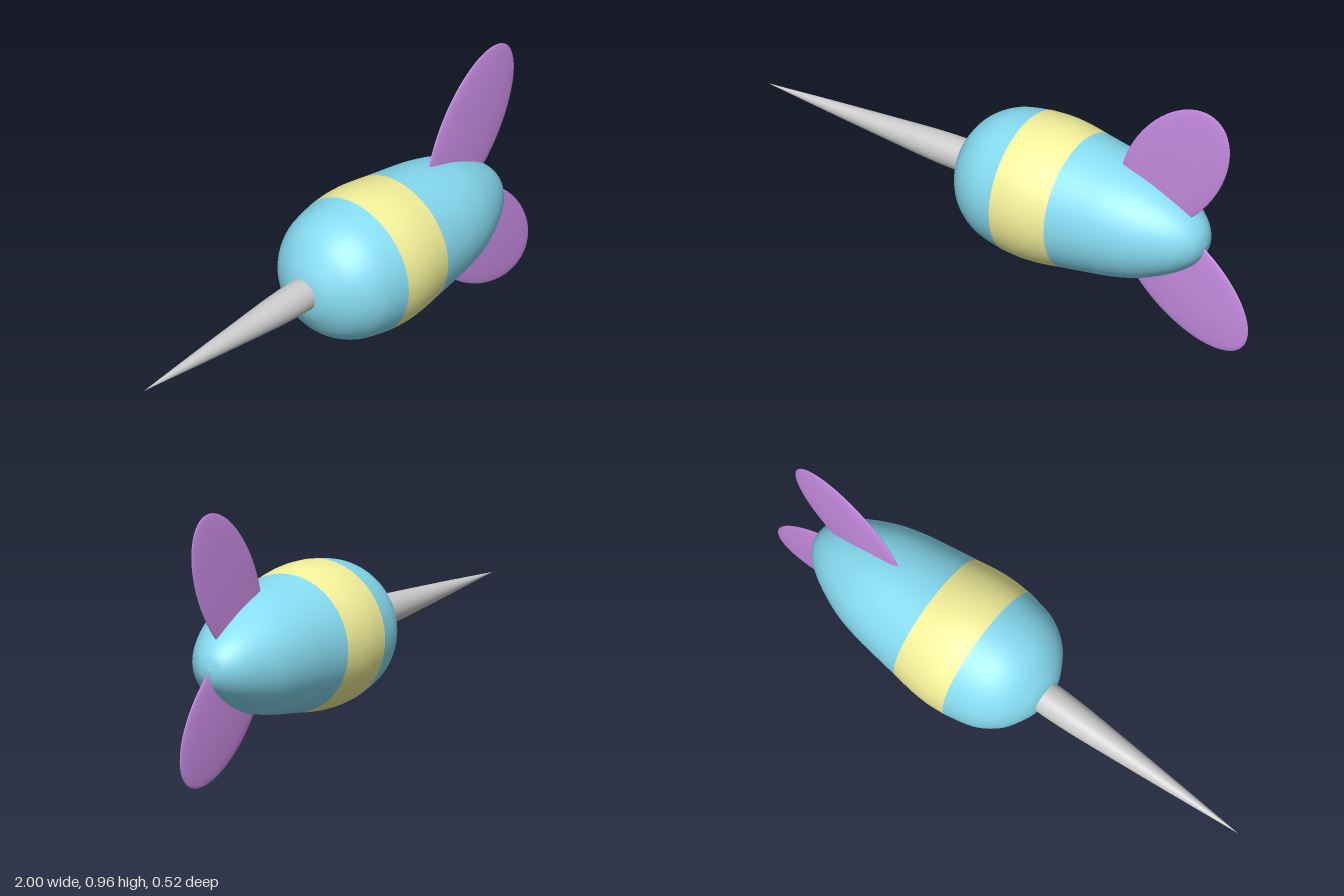
import * as THREE from 'three';

const AXIS_Y = 0.41;
const paint = (color) => new THREE.MeshStandardMaterial({ color });

// Smooth curve through [x, radius] pairs, as lathe points
const smoothProfile = (pairs, count) =>
  new THREE.SplineCurve(pairs.map(([x, r]) => new THREE.Vector2(r, x)))
    .getPoints(count)
    .map((p) => new THREE.Vector2(Math.max(p.x, 0), p.y));

// Surface of revolution around the x axis
function turned(name, points, material, z = 0) {
  const mesh = new THREE.Mesh(new THREE.LatheGeometry(points, 64), material);
  mesh.name = name;
  mesh.rotation.z = -Math.PI / 2;
  mesh.position.set(0, AXIS_Y, z);
  return mesh;
}

// Thin flattened ellipsoid
function fin(name, x, y, length, width, degrees, material) {
  const mesh = new THREE.Mesh(new THREE.SphereGeometry(1, 48, 32), material);
  mesh.name = name;
  mesh.scale.set(length, width, 0.014);
  mesh.position.set(x, y, 0.007);
  mesh.rotation.z = THREE.MathUtils.degToRad(degrees);
  return mesh;
}

export function createModel() {
  const group = new THREE.Group();
  group.name = 'dart';
  const blue = paint(0x87dcf2);
  const yellow = paint(0xf5f29b);
  const purple = paint(0xc88ce2);

  // Egg-shaped body, split where the band starts and ends
  const nose = smoothProfile([
    [-0.175, 0], [-0.17, 0.055], [-0.149, 0.11], [-0.096, 0.184],
    [-0.016, 0.234], [0.09, 0.257],
  ], 40);
  const band = smoothProfile([[0.09, 0.257], [0.16, 0.261], [0.23, 0.257], [0.31, 0.245]], 16);
  const tail = smoothProfile([
    [0.31, 0.245], [0.4, 0.232], [0.5, 0.216], [0.6, 0.19], [0.7, 0.145],
    [0.77, 0.098], [0.81, 0.05], [0.823, 0],
  ], 48);
  group.add(turned('bodyNose', nose, blue));
  group.add(turned('bodyBand', band, yellow));
  group.add(turned('bodyTail', tail, blue));

  // Tapering spike, its base buried in the nose
  const spike = smoothProfile([
    [-1, 0], [-0.74, 0.022], [-0.47, 0.043], [-0.3, 0.055], [-0.17, 0.059], [-0.1, 0.059],
  ], 30);
  group.add(turned('spike', spike, paint(0xcccccc), -0.006));

  // Tail fins
  group.add(fin('upperFin', 0.697, 0.69, 0.314, 0.171, 55, purple));
  group.add(fin('lowerFin', 0.73, 0.243, 0.314, 0.178, -38, purple));

  return group;
}
